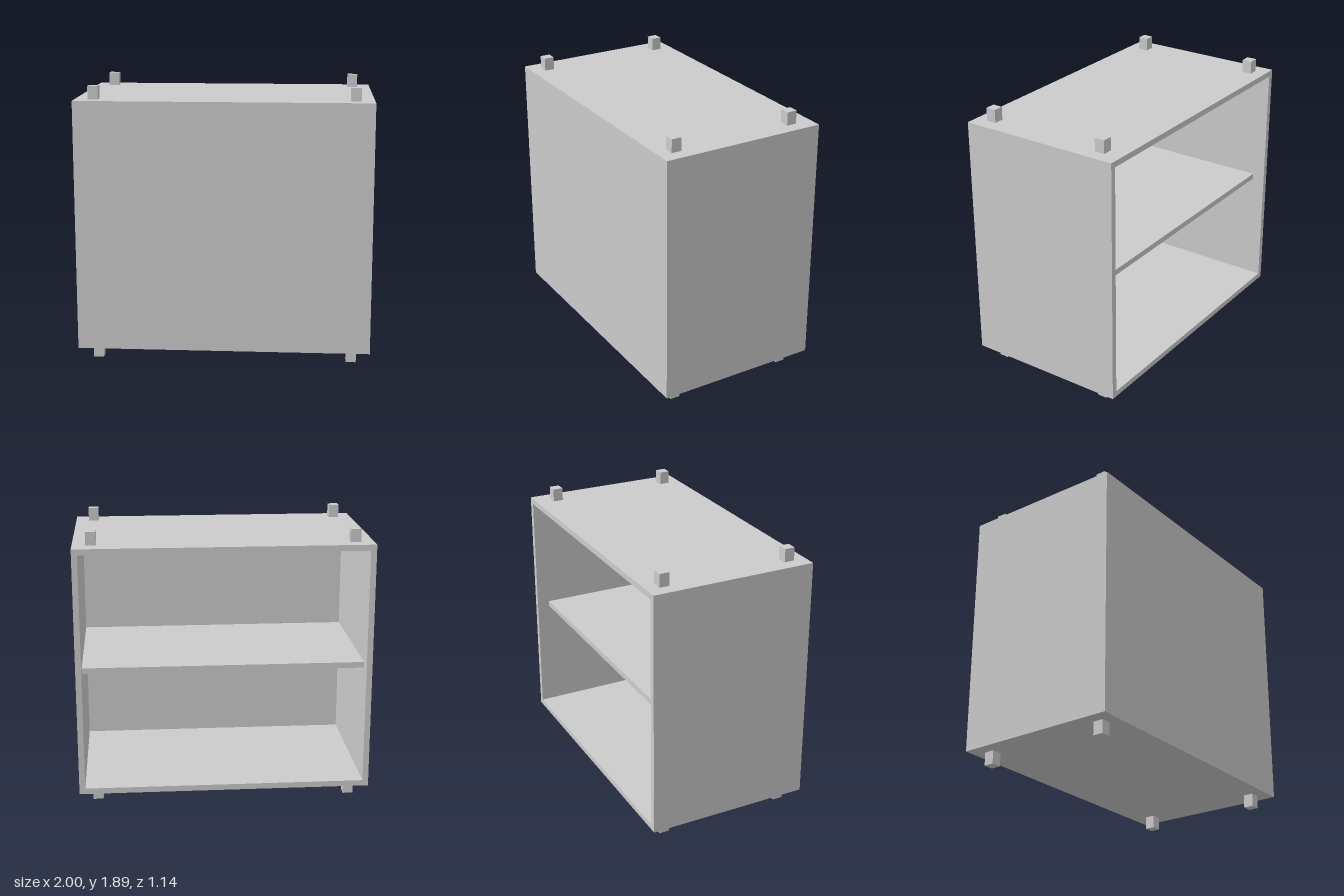
import * as THREE from 'three';

const material = new THREE.MeshStandardMaterial({ color: 0xcccccc, flatShading: true });

// Box given by its lower and upper limits on each axis
function slab(name, [x0, x1], [y0, y1], [z0, z1]) {
  const mesh = new THREE.Mesh(new THREE.BoxGeometry(x1 - x0, y1 - y0, z1 - z0), material);
  mesh.name = name;
  mesh.position.set((x0 + x1) / 2, (y0 + y1) / 2, (z0 + z1) / 2);
  return mesh;
}

export function createModel() {
  const model = new THREE.Group();
  model.name = 'cabinet';

  const W = 1, D = 0.57, T = 0.04;   // half width, half depth, board thickness
  const bottom = 0.09, top = 1.8, foot = 0.07;
  const inner = [-W + T, W - T];

  // Carcass: two sides, top and bottom boards, closed front, open back
  model.add(
    slab('leftSide', [W - T, W], [bottom, top], [-D, D]),
    slab('rightSide', [-W, -W + T], [bottom, top], [-D, D]),
    slab('topBoard', inner, [top - T, top], [-D, D]),
    slab('bottomBoard', inner, [bottom, bottom + T], [-D, D]),
    slab('frontPanel', inner, [bottom + T, top - T], [D - T, D]),
  );

  // Middle shelf, set in from the open back
  const mid = (bottom + top) / 2;
  model.add(slab('shelf', inner, [mid - T / 2, mid + T / 2], [-D + 0.09, D - T]));

  // Four feet below and four matching pegs above; the left back pair sits further in
  const spots = [[-0.875, 0.448], [0.875, 0.448], [-0.875, -0.448], [0.875, -0.418]];
  const h = foot / 2;
  for (const [x, z] of spots) {
    model.add(
      slab('foot', [x - h, x + h], [0, bottom], [z - h, z + h]),
      slab('topPeg', [x - h, x + h], [top, top + bottom], [z - h, z + h]),
    );
  }
  return model;
}
